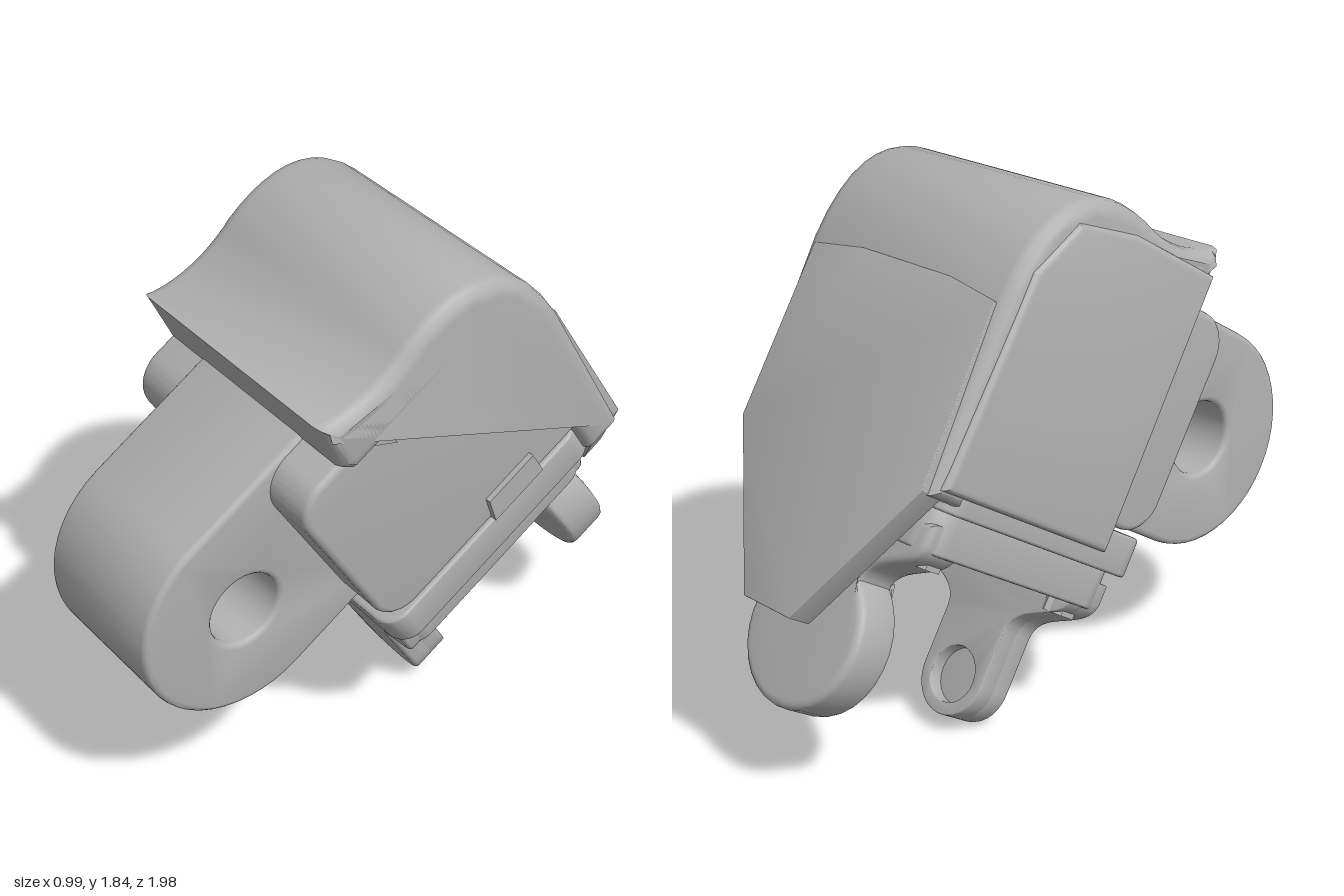
import * as THREE from 'three';
import { toCreasedNormals } from 'three/addons/utils/BufferGeometryUtils.js';

const grey = new THREE.MeshStandardMaterial({ color: 0xb0b0b0 });
grey.name = 'plain grey';

function shapeOf(points) {
  return new THREE.Shape(points.map(([a, b]) => new THREE.Vector2(a, b)));
}

// Rectangle with its own radius for the corners on the high-a and low-a sides.
function roundedRect(a0, a1, b0, b1, rHigh, rLow) {
  const s = new THREE.Shape();
  s.moveTo(a0 + rLow, b0).lineTo(a1 - rHigh, b0);
  s.absarc(a1 - rHigh, b0 + rHigh, rHigh, -Math.PI / 2, 0, false);
  s.absarc(a1 - rHigh, b1 - rHigh, rHigh, 0, Math.PI / 2, false);
  s.absarc(a0 + rLow, b1 - rLow, rLow, Math.PI / 2, Math.PI, false);
  s.absarc(a0 + rLow, b0 + rLow, rLow, Math.PI, Math.PI * 1.5, false);
  return s;
}

// Extrudes from d0 to d1 with rounded edges that stay inside the outline.
function slab(shape, d0, d1, bevel = 0.02) {
  const g = new THREE.ExtrudeGeometry(shape, {
    depth: d1 - d0 - 2 * bevel, bevelEnabled: bevel > 0, bevelSize: bevel,
    bevelThickness: bevel, bevelOffset: -bevel, bevelSegments: 3, curveSegments: 12,
  });
  return g.translate(0, 0, d0 + bevel);
}

// Side profile given as (z, y), extruded across x.
function sideSlab(shape, x0, x1, bevel) {
  return slab(shape, -x1, -x0, bevel).rotateY(-Math.PI / 2);
}

// Outline given as (x, z), extruded upwards.
function floorSlab(shape, y0, y1, bevel) {
  return slab(shape, -y1, -y0, bevel).rotateX(Math.PI / 2);
}

// Clip foot: wide shoulders, narrow neck, round tip.
function footShape(neck, tipRadius, tipY) {
  const s = new THREE.Shape();
  const a = Math.asin(Math.min(1, neck / tipRadius));
  const joinY = tipY + tipRadius * Math.cos(a);
  s.moveTo(-0.36, -0.3).lineTo(-0.36, -0.37);
  s.bezierCurveTo(-0.34, -0.47, -neck, -0.45, -neck, -0.56);
  s.lineTo(-neck, joinY);
  s.absarc(0, tipY, tipRadius, Math.PI / 2 + a, Math.PI * 2.5 - a, false);
  s.lineTo(neck, -0.56);
  s.bezierCurveTo(neck, -0.45, 0.34, -0.47, 0.36, -0.37);
  s.lineTo(0.36, -0.3);
  return s;
}

function hole(x, y, r) {
  const p = new THREE.Path();
  p.absarc(x, y, r, 0, Math.PI * 2, true);
  return p;
}

export function createModel() {
  const root = new THREE.Group();
  root.name = 'hoodedClip';
  const body = new THREE.Group();
  body.name = 'tiltedAssembly';
  body.rotation.set(THREE.MathUtils.degToRad(32.7), 0, THREE.MathUtils.degToRad(-2.6), 'ZYX');
  body.position.set(0, 0.92, 0);
  root.add(body);

  const add = (name, geometry) => {
    const mesh = new THREE.Mesh(toCreasedNormals(geometry, 0.55), grey);
    mesh.name = name;
    body.add(mesh);
    return mesh;
  };

  // Main housing
  add('housing', sideSlab(roundedRect(-0.6, 0.305, -0.115, 0.615, 0.12, 0.02), -0.43, 0.43, 0.02));

  // Pivot lug with a cross hole
  const lug = new THREE.Shape();
  lug.moveTo(0.1, -0.11).lineTo(0.582, -0.11);
  lug.absarc(0.582, 0.26, 0.37, -Math.PI / 2, Math.PI / 2, false);
  lug.lineTo(0.1, 0.63);
  lug.holes.push(hole(0.582, 0.26, 0.125));
  add('pivotLug', sideSlab(lug, -0.257, 0.257, 0.02));

  // Hood over the top and back
  const hood = new THREE.Shape();
  hood.moveTo(0.11, 0.62).lineTo(0.09, 0.81);
  hood.bezierCurveTo(-0.01, 0.75, -0.14, 0.74, -0.26, 0.775);
  hood.bezierCurveTo(-0.47, 0.815, -0.69, 0.75, -0.7, 0.38);
  hood.lineTo(-0.68, -0.23).lineTo(-0.54, -0.23).lineTo(-0.54, 0.575).lineTo(0.08, 0.575);
  add('hood', sideSlab(hood, -0.465, 0.465, 0.05));

  // Full wall on the closed side of the hood
  const wall = shapeOf([[0.1, -0.2], [0.09, 0.72], [-0.3, 0.72], [-0.55, 0.67], [-0.65, 0.48], [-0.66, -0.2]]);
  add('hoodSideWall', sideSlab(wall, -0.48, -0.41, 0.025));

  // Tapered back plate
  const back = shapeOf([[-0.11, -0.72], [0.11, -0.72], [0.43, -0.22], [0.42, 0.36], [0.2, 0.39],
    [-0.2, 0.39], [-0.42, 0.36], [-0.43, -0.22]]);
  add('backPlate', slab(back, -0.705, -0.615, 0.004));

  // Stepped base
  add('upperBase', floorSlab(roundedRect(-0.43, 0.43, -0.58, 0.32, 0.08, 0.08), -0.257, -0.125, 0.01));
  add('lowerBase', floorSlab(roundedRect(-0.37, 0.37, -0.54, 0.305, 0.09, 0.09), -0.39, -0.24, 0.01));

  // Front foot, with a round recess in its inner face
  const front = footShape(0.137, 0.137, -0.755);
  add('frontFootOuter', slab(front, 0.215, 0.305, 0.015));
  const frontInner = footShape(0.137, 0.137, -0.755);
  frontInner.holes.push(hole(0, -0.755, 0.095));
  add('frontFootInner', slab(frontInner, 0.165, 0.235, 0.004));

  // Back foot with a broad paddle
  add('backFoot', slab(footShape(0.14, 0.25, -0.75), -0.535, -0.375, 0.025));

  // Hexagonal bolt bosses beside each foot
  for (const x of [-0.27, 0.27]) {
    for (const z of [0.215, -0.43]) {
      const boss = add('boltBoss', new THREE.CylinderGeometry(0.06, 0.06, 0.1, 6));
      boss.position.set(x, -0.39, z);
    }
  }

  // Wedge catches on the open side
  const catches = [
    [[0.02, 0.62], [-0.07, 0.52], [-0.05, 0.62]],
    [[-0.16, -0.11], [-0.18, -0.02], [-0.38, -0.02], [-0.38, -0.11]],
  ];
  for (const pts of catches) add('sideCatch', sideSlab(shapeOf(pts.reverse()), 0.42, 0.45, 0));

  return root;
}
